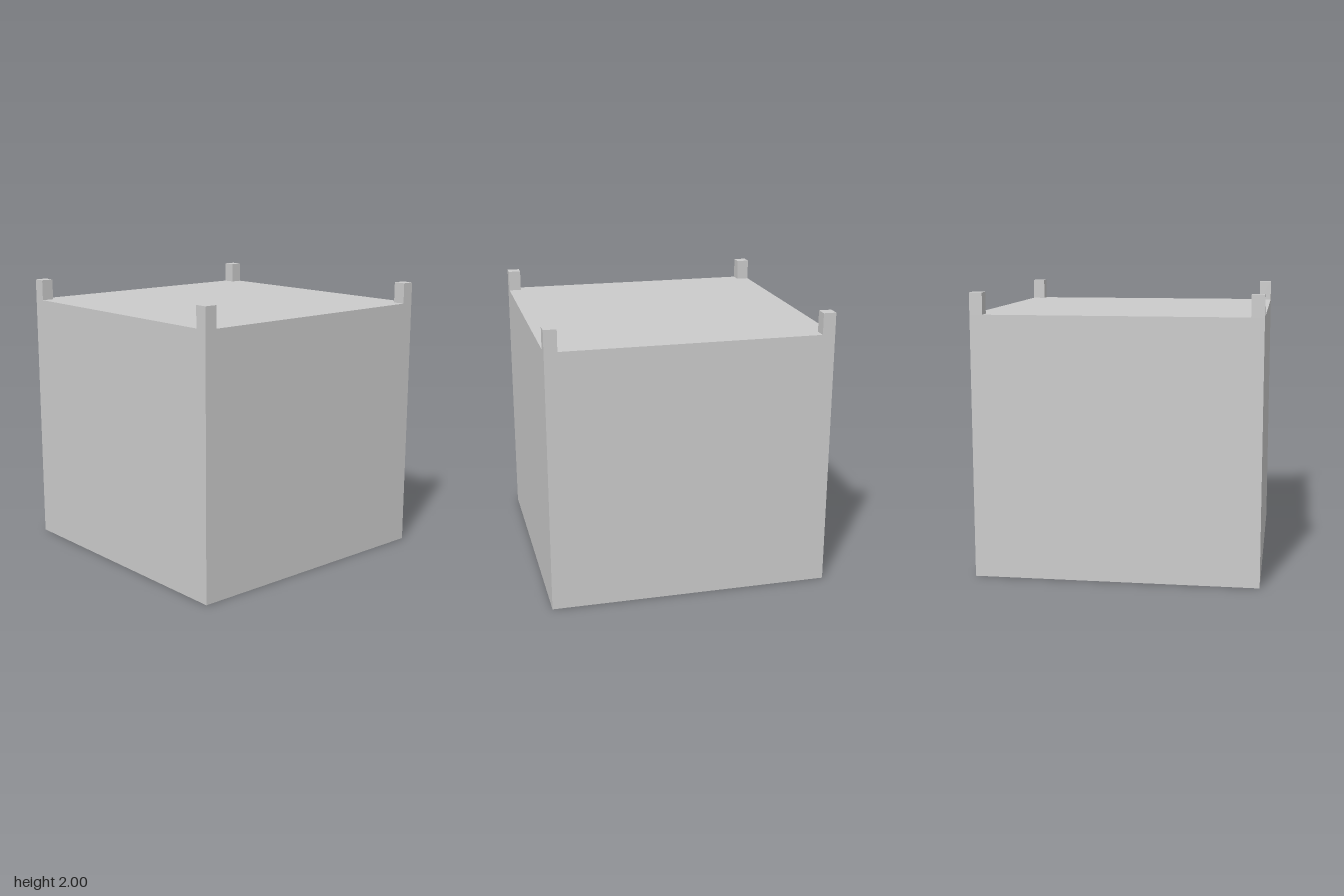
import * as THREE from 'three';

const SIZE = 2, BODY_HEIGHT = 1.85, POST = 0.09;

export function createModel() {
  const model = new THREE.Group();
  model.name = 'cubeWithCornerPosts';
  const material = new THREE.MeshStandardMaterial({ color: 0xcccccc, flatShading: true });

  // Box standing on the ground, from height y0 to y1
  const addBox = (name, width, y0, y1, x, z) => {
    const mesh = new THREE.Mesh(new THREE.BoxGeometry(width, y1 - y0, width), material);
    mesh.name = name;
    mesh.position.set(x, (y0 + y1) / 2, z);
    model.add(mesh);
  };

  // Main block
  addBox('body', SIZE, 0, BODY_HEIGHT, 0, 0);

  // Short square post on each top corner
  const offset = (SIZE - POST) / 2;
  for (const [side, sx] of [['Left', 1], ['Right', -1]]) {
    for (const [end, sz] of [['front', 1], ['back', -1]]) {
      addBox(`${end}${side}Post`, POST, BODY_HEIGHT, SIZE, sx * offset, sz * offset);
    }
  }
  return model;
}
